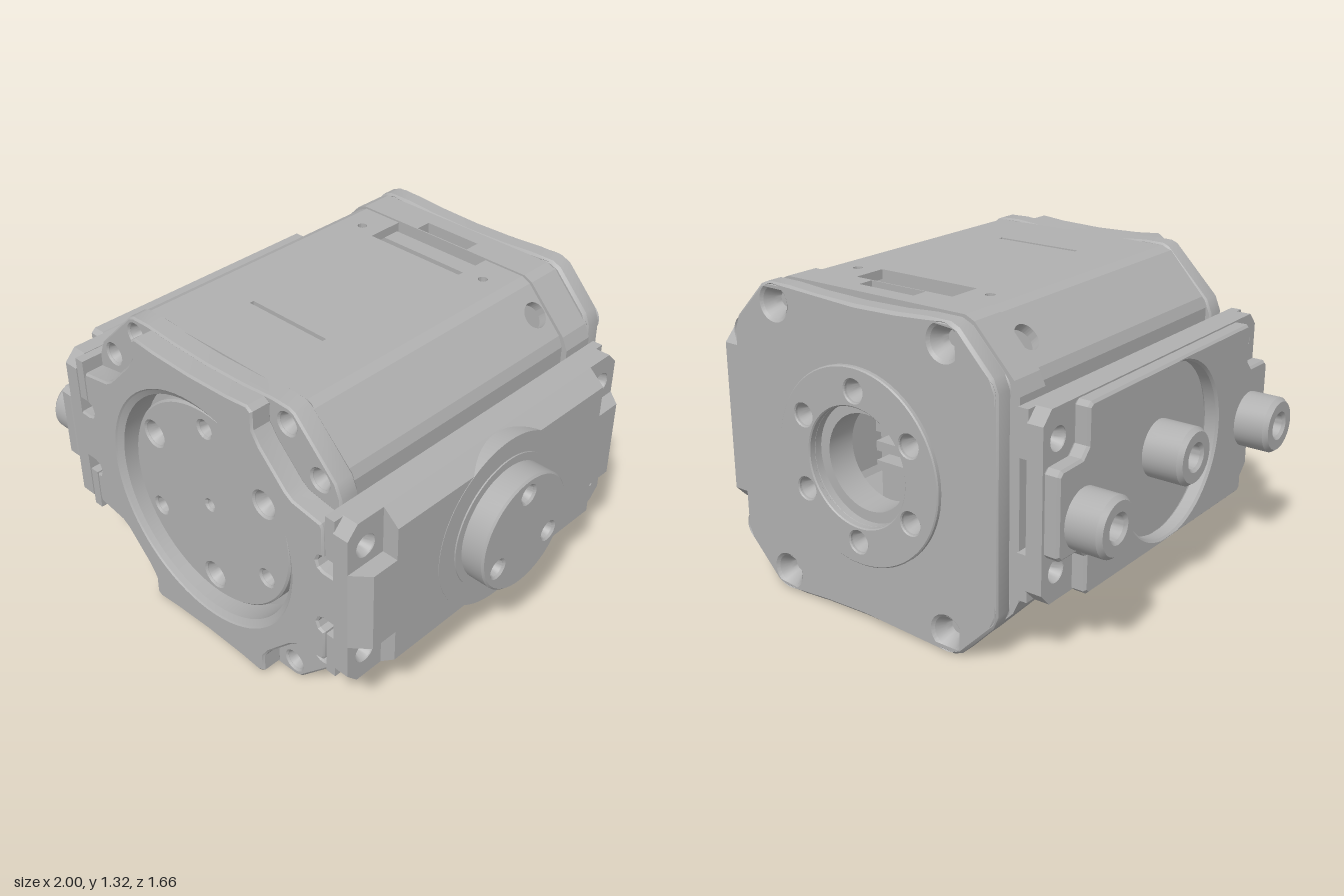
import * as THREE from 'three';
import { toCreasedNormals } from 'three/addons/utils/BufferGeometryUtils.js';

const metal = new THREE.MeshStandardMaterial({ color: 0xb0b0b0, side: THREE.DoubleSide });
metal.name = 'machined grey metal';

function add(parent, name, geometry, x = 0, y = 0, z = 0) {
  const mesh = new THREE.Mesh(geometry, metal);
  mesh.name = name;
  mesh.position.set(x, y, z);
  parent.add(mesh);
  return mesh;
}

function group(parent, name) {
  const g = new THREE.Group();
  g.name = name;
  parent.add(g);
  return g;
}

// Clockwise closed outline from its upper right quarter
function quarters(q) {
  const r = [...q].reverse();
  return [...q, ...r.map(([x, y]) => [x, -y]), ...q.map(([x, y]) => [-x, -y]), ...r.map(([x, y]) => [-x, y])];
}
const polygon = (pts) => new THREE.Shape(pts.map(([x, y]) => new THREE.Vector2(x, y)));
const disc = (r) => new THREE.Shape().absarc(0, 0, r, 0, Math.PI * 2);
const mirror4 = (list) => list.flatMap(([x, y]) => [[x, y], [-x, y], [x, -y], [-x, -y]]);
const polar = (n, r, start) => Array.from({ length: n }, (_, i) => {
  const a = start + (i * 2 * Math.PI) / n;
  return [r * Math.cos(a), r * Math.sin(a)];
});

// Slab from z0 to z1 with round holes [x, y, r] and a small edge bevel
function slab(shape, z0, z1, holes = [], bevel = 0) {
  for (const [x, y, r] of holes) shape.holes.push(new THREE.Path().absarc(x, y, r, 0, Math.PI * 2));
  const geo = new THREE.ExtrudeGeometry(shape, {
    depth: z1 - z0 - 2 * bevel, curveSegments: 36, bevelEnabled: bevel > 0,
    bevelThickness: bevel, bevelSize: bevel, bevelOffset: -bevel, bevelSegments: 1,
  });
  return toCreasedNormals(geo.translate(0, 0, z0 + bevel), 0.5);
}

// Turned part around the z axis from [radius, z] points
function turned(points, segments = 48) {
  const geo = new THREE.LatheGeometry(points.map(([r, z]) => new THREE.Vector2(r, z)), segments);
  return toCreasedNormals(geo.rotateX(Math.PI / 2), 0.5);
}

// Tapered floors sunk into screw holes
function screwSeats(parent, holes, z, depth) {
  for (const [x, y, r] of holes) {
    add(parent, 'screwSeat', turned([[r, -0.005], [r * 0.65, -depth * 0.6], [r * 0.5, -depth], [0, -depth]], 24), x, y, z);
  }
}

// Tube of flat panels; cut(i) gives window holes as [u, z, halfWidth, halfDepth] or round [u, z, r]
function panelTube(parent, name, quarter, z0, z1, thickness, cut) {
  const pts = quarters(quarter);
  pts.forEach(([px, py], i) => {
    const [qx, qy] = pts[(i + 1) % pts.length];
    const d = new THREE.Vector3(qx - px, qy - py, 0);
    const half = d.length() / 2;
    d.normalize();
    const shape = polygon([[-half, z0], [half, z0], [half, z1], [-half, z1]]);
    for (const [u, z, w, h] of cut(i)) {
      const hole = h
        ? polygon([[u - w, z - h], [u - w, z + h], [u + w, z + h], [u + w, z - h]])
        : new THREE.Path().absarc(u, z, w, 0, Math.PI * 2);
      shape.holes.push(hole);
    }
    const geo = slab(shape, 0, thickness);
    const m = new THREE.Matrix4().makeBasis(d, new THREE.Vector3(0, 0, 1), new THREE.Vector3(d.y, -d.x, 0));
    m.setPosition((px + qx) / 2, (py + qy) / 2, 0);
    add(parent, name, geo.applyMatrix4(m));
  });
}

// Box whose outer (+z) face is drawn in by the given insets
function chamferedBlock(w, h, d, insetX, insetY) {
  const geo = new THREE.BoxGeometry(w, h, d);
  const p = geo.attributes.position;
  for (let i = 0; i < p.count; i++) {
    if (p.getZ(i) > 0) p.setXY(i, p.getX(i) - Math.sign(p.getX(i)) * insetX, p.getY(i) - Math.sign(p.getY(i)) * insetY);
  }
  geo.computeVertexNormals();
  return geo;
}

function buildHousing(root) {
  const g = group(root, 'housing');
  panelTube(g, 'housingPanel', [[0.43, 0.648], [0.47, 0.63], [0.635, 0.455], [0.655, 0.41]], -0.565, 0.66, 0.04, (i) => {
    if (i % 8 === 7) return [[0, -0.475, 0.24, 0.085], [0, 0.335, 0.2, 0.01], [-0.333, -0.43, 0.02], [0.333, -0.43, 0.02]];
    return i % 4 === 1 ? [[0, -0.5, 0.055]] : [];
  });
  panelTube(g, 'rearCollar', [[0.44, 0.656], [0.48, 0.638], [0.655, 0.455], [0.68, 0.4]], -0.712, -0.56, 0.065,
    (i) => (i % 8 === 7 ? [[0, -0.6, 0.135, 0.035]] : []));
  // Inner core, ribs and the plates behind both windows
  add(g, 'innerCore', new THREE.BoxGeometry(0.9, 1.2, 0.84), 0, 0, 0.22);
  for (let i = -3; i <= 3; i++) add(g, 'innerRib', new THREE.BoxGeometry(0.8, 0.045, 0.09), 0, i * 0.09, -0.24);
  for (const s of [1, -1]) {
    add(g, 'windowPlate', new THREE.BoxGeometry(0.48, 0.04, 0.08), 0, s * 0.59, -0.51);
    add(g, 'windowBlock', new THREE.BoxGeometry(0.26, 0.04, 0.04), -0.09, s * 0.56, -0.45);
  }
}

function buildFront(root) {
  const g = group(root, 'frontCover');
  const tab = [[0.68, 0.185], [0.655, 0.175], [0.645, 0.15], [0.655, 0.125], [0.68, 0.115], [0.77, 0.115]];
  const flange = [[0, 0.64], [0.2, 0.646], [0.34, 0.658], [0.43, 0.656], [0.457, 0.645], [0.655, 0.445], [0.68, 0.385], ...tab];
  const face = [[0, 0.636], [0.2, 0.642], [0.31, 0.652], [0.335, 0.635], [0.335, 0.556], [0.37, 0.503],
    [0.495, 0.375], [0.53, 0.353], [0.67, 0.33], [0.68, 0.31], ...tab];
  const screws = mirror4([[0.42, 0.583], [0.58, 0.423]]).map(([x, y]) => [x, y, 0.043]);
  add(g, 'frontFlange', slab(polygon(quarters(flange)), 0.65, 0.74, [...screws, [0, 0, 0.515]], 0.008));
  screwSeats(g, screws, 0.735, 0.07);
  add(g, 'frontFace', slab(polygon(quarters(face)), 0.735, 0.83, [[0, 0, 0.512]], 0.008));
  add(g, 'bowlWall', turned([[0.52, 0.828], [0.49, 0.808], [0.49, 0.69], [0, 0.69]], 72));

  // Output disc with alternating large and small screw holes
  const holes = polar(6, 0.365, Math.PI / 2).map(([x, y], i) => [x, y, i % 2 ? 0.055 : 0.036]);
  holes.push([0, 0, 0.022]);
  add(g, 'outputDisc', slab(disc(0.45), 0.69, 0.775, holes, 0.008));
  screwSeats(g, holes, 0.77, 0.07);
}

function buildBack(root) {
  const g = group(root, 'rearCover');
  g.rotation.y = Math.PI;
  const q = [[0, 0.64], [0.2, 0.645], [0.34, 0.655], [0.45, 0.655], [0.49, 0.638], [0.635, 0.485], [0.657, 0.43]];
  const corner = mirror4([[0.42, 0.573], [0.577, 0.42]]).map(([x, y]) => [x, y, 0.065]);
  const ring = polar(6, 0.31, Math.PI / 2).map(([x, y]) => [x, y, 0.046]);
  const bore = [0, 0, 0.245];
  add(g, 'gasket', slab(polygon(quarters(q.map(([x, y]) => [x * 0.975, y * 0.975]))), 0.69, 0.735, [bore]));
  add(g, 'rearPlate', slab(polygon(quarters(q)), 0.728, 0.815, [...corner, ...ring, bore], 0.012));
  add(g, 'rearDisc', slab(disc(0.405), 0.81, 0.835, [...ring, bore], 0.005));
  screwSeats(g, corner, 0.81, 0.07);
  screwSeats(g, ring, 0.825, 0.08);
  add(g, 'boreSleeve', turned([[0.246, 0.83], [0.246, 0.77], [0.2, 0.77], [0.2, 0.64]]));
}

// Side plate, local z pointing outwards; side is +1 or -1
function sidePlate(root, side, name) {
  const g = group(root, name);
  g.position.z = 0.045;
  g.rotation.y = (side * Math.PI) / 2;
  const screws = mirror4([[0.695, 0.257]]).map(([x, y]) => [x, y, 0.048]);
  const base = [[0.735, 0.3775], [0.785, 0.325]];
  add(g, 'sideBase', slab(polygon(quarters(base)), 0.73, 0.8, screws));
  screwSeats(g, screws, 0.8, 0.065);
  for (const s of [1, -1]) add(g, 'innerRail', new THREE.BoxGeometry(1.56, 0.19, 0.045), 0, s * 0.28, 0.71);
  return g;
}

function buildSides(root) {
  // Plate with the round output boss
  const left = sidePlate(root, 1, 'bossPlate');
  add(left, 'raisedPanel', chamferedBlock(1.21, 0.755, 0.07, 0, 0.06), 0, 0, 0.835);
  add(left, 'endPanel', chamferedBlock(1.57, 0.35, 0.07, 0.06, 0), 0, 0, 0.835);
  add(left, 'bossPad', slab(disc(0.375), 0.8, 0.872));
  add(left, 'bossCollar', slab(disc(0.288), 0.86, 0.878));
  const holes = polar(3, 0.18, Math.PI / 2).map(([x, y]) => [x, y, 0.038]);
  add(left, 'boss', slab(disc(0.253), 0.86, 0.98, holes, 0.008));
  screwSeats(left, holes, 0.975, 0.08);

  // Plate with a round recess and three pegs
  const right = sidePlate(root, -1, 'pegPlate');
  const cross = [[0.585, 0.3775], [0.605, 0.36], [0.605, 0.215], [0.64, 0.178], [0.765, 0.175], [0.785, 0.155]];
  add(right, 'recessedPanel', slab(polygon(quarters(cross)), 0.8, 0.87, [[0, 0, 0.36]], 0.01));
  const peg = (x, y, z0, z1) => add(right, 'peg', turned([[0.12, z0], [0.12, z1 - 0.02], [0.105, z1], [0.062, z1],
    [0.05, z1 - 0.012], [0.045, z1 - 0.09], [0, z1 - 0.09]], 36), x, y, 0);
  peg(-0.63, -0.05, 0.86, 1.02);
  peg(0.63, -0.05, 0.86, 1.02);
  peg(0, 0, 0.795, 0.972);
}

export function createModel() {
  const model = new THREE.Group();
  model.name = 'actuatorModule';
  const root = group(model, 'actuator');
  root.position.set(0.02, 0.66, 0);
  buildHousing(root);
  buildFront(root);
  buildBack(root);
  buildSides(root);
  return model;
}
